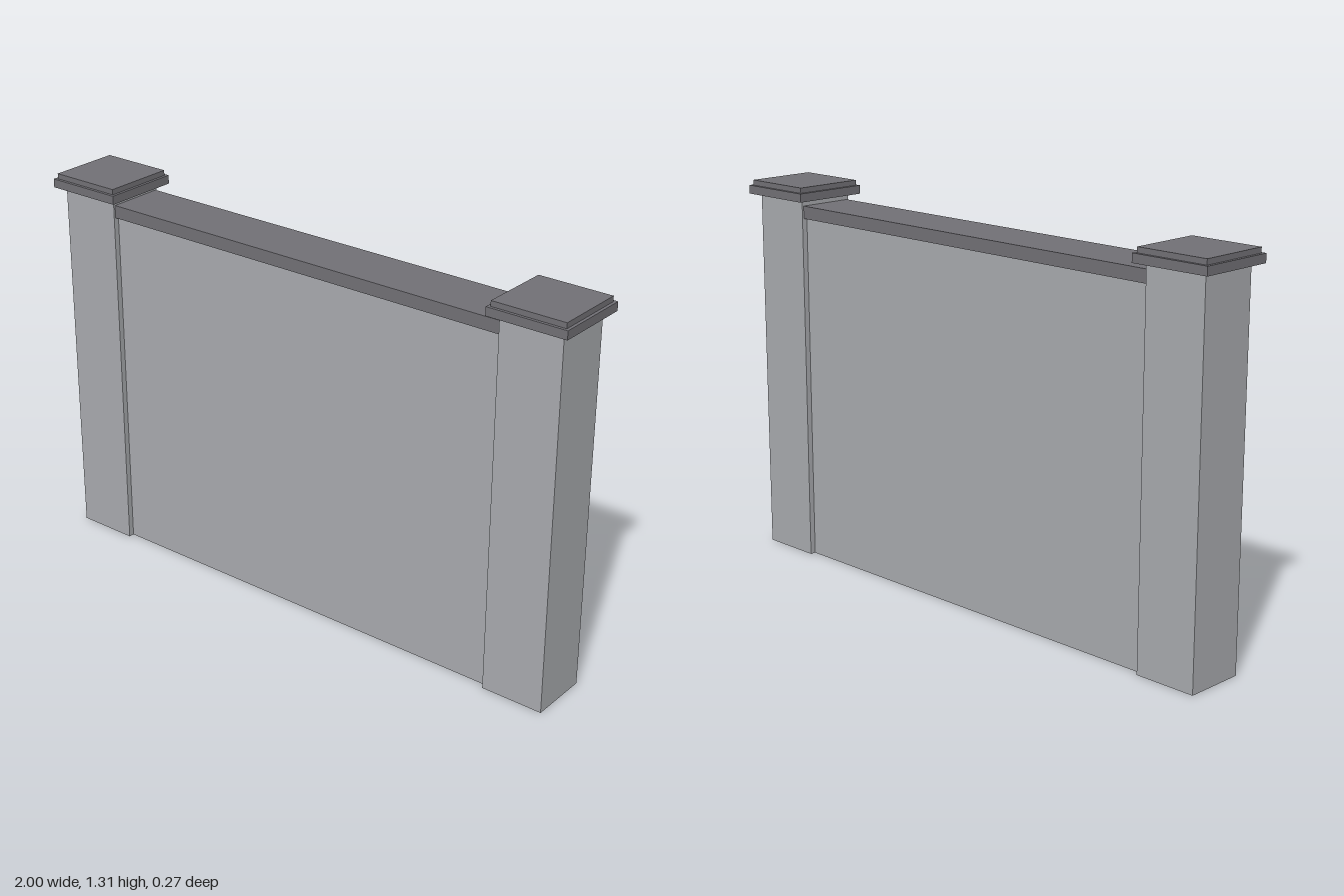
import * as THREE from 'three';

export function createModel() {
  const group = new THREE.Group();
  const stone = new THREE.MeshStandardMaterial({ color: 0xa9abaf });
  stone.name = 'light grey stone';
  const capStone = new THREE.MeshStandardMaterial({ color: 0x727176 });
  capStone.name = 'dark grey cap';

  // Box from its width, depth, and bottom and top heights
  function block(name, material, x, width, depth, bottom, top) {
    const mesh = new THREE.Mesh(new THREE.BoxGeometry(width, top - bottom, depth), material);
    mesh.name = name;
    mesh.position.set(x, (bottom + top) / 2, 0);
    group.add(mesh);
  }

  // Wall panel and its overhanging coping
  block('wallPanel', stone, 0, 1.512, 0.168, 0, 1.2);
  block('wallCoping', capStone, 0, 1.512, 0.194, 1.2, 1.243);

  // End pillars with two-step caps
  for (const [side, s] of [['left', 1], ['right', -1]]) {
    const x = s * 0.864;
    block(side + 'Pillar', stone, x, 0.215, 0.206, 0, 1.262);
    block(side + 'CapLower', capStone, x, 0.272, 0.266, 1.262, 1.291);
    block(side + 'CapUpper', capStone, x, 0.252, 0.246, 1.291, 1.309);
  }
  return group;
}
